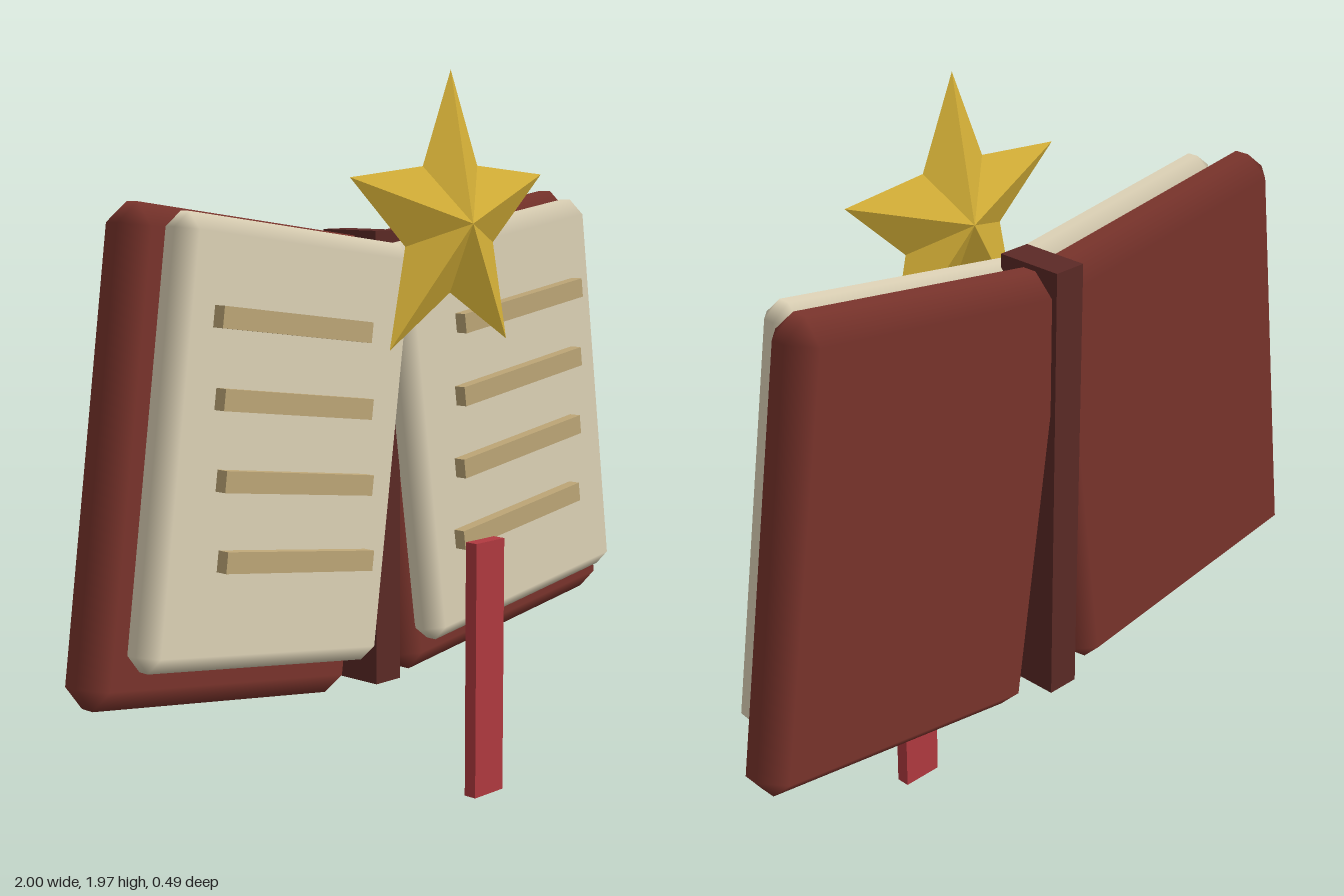
import * as THREE from 'three';
import { ConvexGeometry } from 'three/addons/geometries/ConvexGeometry.js';

const TILT = 0.14; // each half of the book leans outwards

const material = (color, flat = false) =>
  new THREE.MeshStandardMaterial({ color, flatShading: flat });

function mesh(name, geometry, mat, x, y, z, tilt = 0) {
  const m = new THREE.Mesh(geometry, mat);
  m.name = name;
  m.position.set(x, y, z);
  m.rotation.z = tilt;
  return m;
}

// Box with chamfered edges; normals follow the main faces so the chamfers shade softly.
function chamferBox(w, h, d, c) {
  const half = [w / 2, h / 2, d / 2];
  const points = [];
  for (let axis = 0; axis < 3; axis++)
    for (const sx of [-1, 1]) for (const sy of [-1, 1]) for (const sz of [-1, 1]) {
      const p = [sx, sy, sz].map((s, i) => s * (half[i] - (i === axis ? 0 : c)));
      points.push(new THREE.Vector3(...p));
    }
  const geometry = new ConvexGeometry(points);
  const pos = geometry.attributes.position, normal = geometry.attributes.normal;
  for (let i = 0; i < pos.count; i++) {
    const p = [pos.getX(i), pos.getY(i), pos.getZ(i)];
    const n = p.map((v, a) => (Math.abs(Math.abs(v) - half[a]) < 1e-4 ? Math.sign(v) : 0));
    normal.setXYZ(i, ...n);
  }
  return geometry;
}

// Five-pointed star rising to a peak on both faces
function starGeometry(outer, inner, depth) {
  const ring = [];
  for (let i = 0; i < 10; i++) {
    const a = Math.PI / 2 + (i * Math.PI) / 5, r = i % 2 ? inner : outer;
    ring.push([Math.cos(a) * r, Math.sin(a) * r, 0]);
  }
  const v = [];
  for (let i = 0; i < 10; i++) {
    const a = ring[i], b = ring[(i + 1) % 10];
    v.push(...a, ...b, 0, 0, depth, ...b, ...a, 0, 0, -depth);
  }
  const geometry = new THREE.BufferGeometry();
  geometry.setAttribute('position', new THREE.Float32BufferAttribute(v, 3));
  geometry.computeVertexNormals();
  return geometry;
}

export function createModel() {
  const book = new THREE.Group();
  book.name = 'openBook';

  const leather = material(0x7a342c);
  const paper = material(0xdfd4b8);
  const ink = material(0xbfa878);
  const coverShape = chamferBox(0.906, 1.222, 0.155, 0.057);
  const pageShape = chamferBox(0.82, 1.1, 0.115, 0.042);
  const lineShape = new THREE.BoxGeometry(0.512, 0.053, 0.036);

  // Cover, page block and text lines, mirrored for each half
  for (const [side, s] of [['left', 1], ['right', -1]]) {
    const half = new THREE.Group();
    half.name = side + 'Half';
    half.add(mesh(side + 'Cover', coverShape, leather, s * 0.473, 0.989, -0.15, s * TILT));
    half.add(mesh(side + 'Pages', pageShape, paper, s * 0.435, 1.032, -0.027, s * TILT));
    for (let i = 0; i < 4; i++)
      half.add(mesh(side + 'TextLine' + (i + 1), lineShape, ink,
        s * 0.434, 1.345 - i * 0.197, 0.047, s * TILT));
    book.add(half);
  }

  // Spine, ribbon and star
  book.add(mesh('spine', new THREE.BoxGeometry(0.094, 1.22, 0.192), material(0x5c2a26), 0, 0.95, -0.147));
  book.add(mesh('bookmarkRibbon', new THREE.BoxGeometry(0.117, 0.715, 0.038), material(0xb23a40), 0.237, 0.3575, 0.09));
  book.add(mesh('star', starGeometry(0.385, 0.178, 0.078), material(0xd4af37, true), 0, 1.585, 0.167));

  return book;
}
